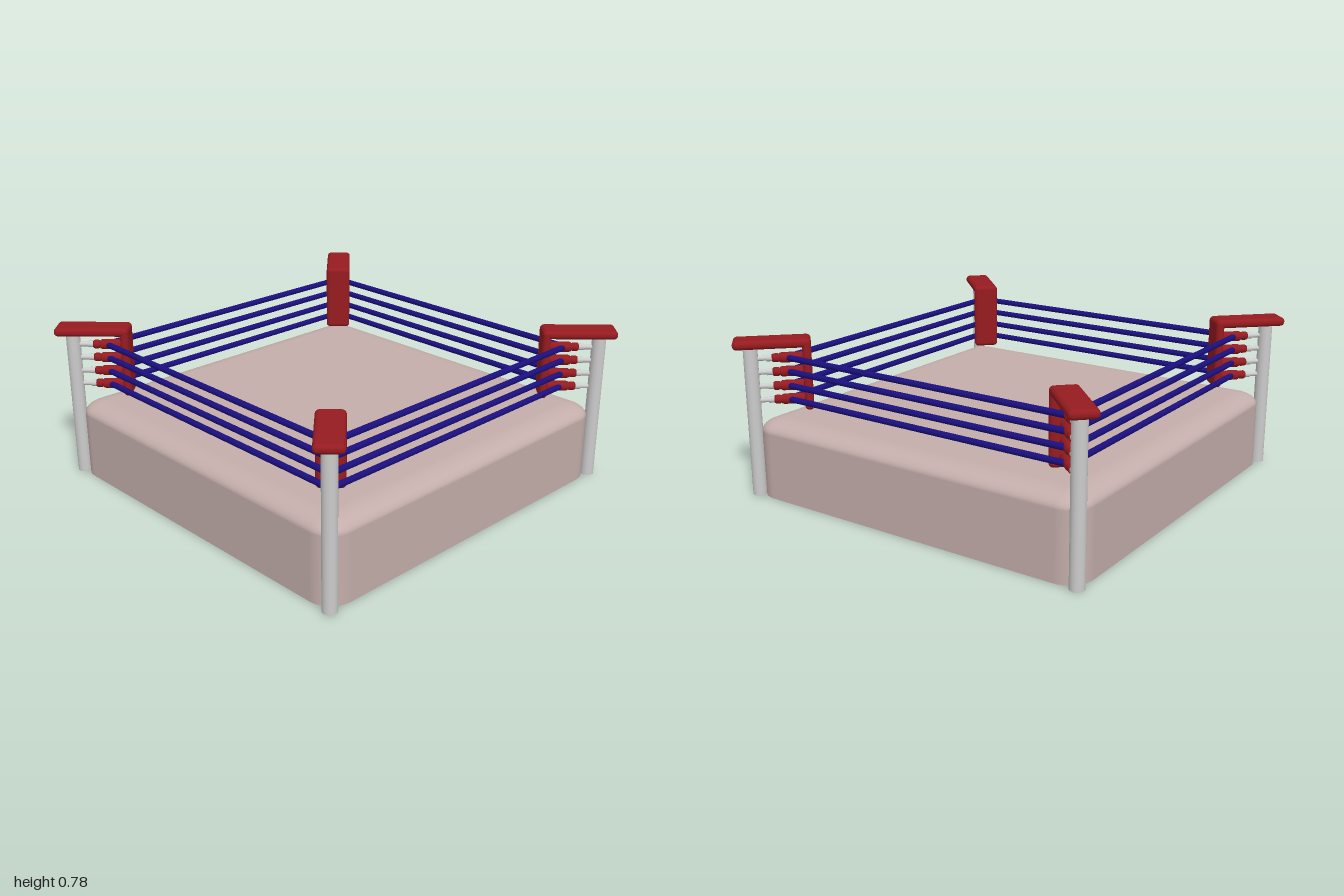
import * as THREE from 'three';
import { RoundedBoxGeometry } from 'three/addons/geometries/RoundedBoxGeometry.js';

const material = (color, side = THREE.FrontSide) =>
  new THREE.MeshStandardMaterial({ color, side });
const grey = material(0xcccccc);
const red = material(0x961b20);
const blue = material(0x1a0f80);
const canvas = material(0xc4aeab, THREE.DoubleSide);

const ROPE_HEIGHTS = [0.475, 0.543, 0.612, 0.68];
const ROPE_OFFSET = 0.793;

function addMesh(parent, name, geometry, mat, x = 0, y = 0, z = 0) {
  const mesh = new THREE.Mesh(geometry, mat);
  mesh.name = name;
  mesh.position.set(x, y, z);
  parent.add(mesh);
  return mesh;
}

// Open-bottomed platform: rounded-square rings with an elliptical top edge
function platformGeometry() {
  const core = 0.8, radius = 0.12, top = 0.385, drop = 0.06;
  const cornerSteps = 10, edgeSteps = 10;
  const rings = [{ r: radius, y: 0, out: 1, up: 0 }];
  for (let i = 0; i <= edgeSteps; i++) {
    const t = (i / edgeSteps) * Math.PI / 2;
    const n = new THREE.Vector2(Math.cos(t) / radius, Math.sin(t) / drop).normalize();
    rings.push({
      r: radius * Math.cos(t), y: top - drop + drop * Math.sin(t), out: n.x, up: n.y,
    });
  }
  const positions = [], normals = [], index = [];
  const count = 4 * (cornerSteps + 1);
  for (const ring of rings) {
    for (let c = 0; c < 4; c++) {
      const mid = (c + 0.5) * Math.PI / 2;
      for (let s = 0; s <= cornerSteps; s++) {
        const a = (c + s / cornerSteps) * Math.PI / 2;
        positions.push(
          Math.sign(Math.cos(mid)) * core + ring.r * Math.cos(a),
          ring.y,
          Math.sign(Math.sin(mid)) * core + ring.r * Math.sin(a));
        normals.push(Math.cos(a) * ring.out, ring.up, Math.sin(a) * ring.out);
      }
    }
  }
  const centre = positions.length / 3;
  positions.push(0, top, 0);
  normals.push(0, 1, 0);
  for (let i = 0; i < count; i++) {
    const next = (i + 1) % count;
    for (let j = 0; j < rings.length - 1; j++) {
      const low = j * count, high = low + count;
      index.push(low + i, high + i, low + next, low + next, high + i, high + next);
    }
    const last = (rings.length - 1) * count;
    index.push(centre, last + next, last + i);
  }
  const geometry = new THREE.BufferGeometry();
  geometry.setAttribute('position', new THREE.Float32BufferAttribute(positions, 3));
  geometry.setAttribute('normal', new THREE.Float32BufferAttribute(normals, 3));
  geometry.setIndex(index);
  return geometry;
}

// Corner built along local +x, which points outwards
function createCorner() {
  const corner = new THREE.Group();
  const postX = 0.907 * Math.SQRT2;
  addMesh(corner, 'post', new THREE.CylinderGeometry(0.034, 0.034, 0.75, 32),
    grey, postX, 0.375, 0);

  // Padding: flat cap over the post and upright pad facing the ring
  addMesh(corner, 'topPad', new RoundedBoxGeometry(0.361, 0.043, 0.13, 5, 0.02),
    red, 1.181, 0.757, 0);
  addMesh(corner, 'frontPad', new RoundedBoxGeometry(0.042, 0.35, 0.13, 5, 0.02),
    red, 1.021, 0.603, 0);

  // Turnbuckle sleeve and rod at each rope height
  const sleeve = new THREE.LatheGeometry([
    [0, 0], [0.025, 0], [0.025, 0.1], [0.022, 0.108], [0.018, 0.112],
    [0.021, 0.118], [0.021, 0.138], [0.017, 0.145], [0, 0.145],
  ].map(([x, y]) => new THREE.Vector2(x, y)), 20);
  const rod = new THREE.CylinderGeometry(0.012, 0.012, 0.13, 16);
  const collar = new THREE.CylinderGeometry(0.016, 0.016, 0.025, 16);
  for (const y of ROPE_HEIGHTS) {
    addMesh(corner, 'turnbuckle', sleeve, red, 1.04, y, 0).rotation.z = -Math.PI / 2;
    addMesh(corner, 'rod', rod, grey, 1.225, y, 0).rotation.z = -Math.PI / 2;
    addMesh(corner, 'collar', collar, grey, 1.197, y, 0).rotation.z = -Math.PI / 2;
  }
  return corner;
}

export function createModel() {
  const ring = new THREE.Group();
  ring.name = 'boxingRing';
  addMesh(ring, 'platform', platformGeometry(), canvas);

  const names = ['backLeft', 'backRight', 'frontRight', 'frontLeft'];
  names.forEach((name, i) => {
    const corner = createCorner();
    corner.name = `${name}Corner`;
    corner.rotation.y = Math.PI / 4 + i * Math.PI / 2;
    ring.add(corner);
  });

  // Four ropes along each side
  const rope = new THREE.CylinderGeometry(0.0145, 0.0145, ROPE_OFFSET * 2, 16);
  for (let i = 0; i < 4; i++) {
    const side = new THREE.Group();
    side.name = `${['front', 'left', 'back', 'right'][i]}Ropes`;
    side.rotation.y = i * Math.PI / 2;
    for (const y of ROPE_HEIGHTS) {
      addMesh(side, 'rope', rope, blue, 0, y, ROPE_OFFSET).rotation.z = Math.PI / 2;
    }
    ring.add(side);
  }
  return ring;
}
